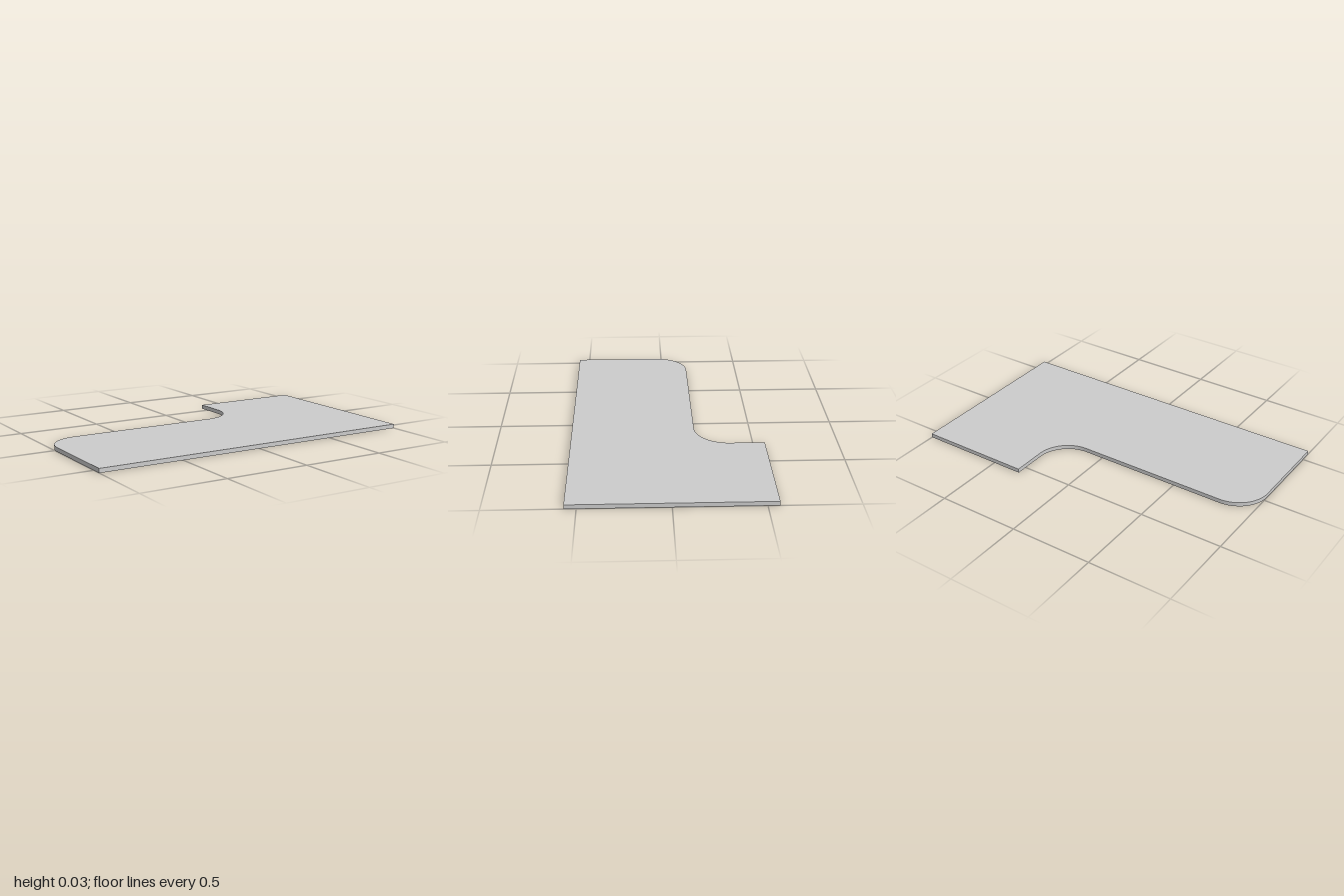
import * as THREE from 'three';
import { toCreasedNormals } from 'three/addons/utils/BufferGeometryUtils.js';

const HALF_DEPTH = 0.565; // half of the z extent
const THICKNESS = 0.025;
const BACK = 0.163;       // back edge of the long wing
const INNER = 0.315;      // inner side of the short wing
const R = 0.2;            // radius of both rounded corners

export function createModel() {
  const group = new THREE.Group();
  group.name = 'cornerDesktop';

  // L-shaped outline, drawn with shape y pointing to the back
  const outline = new THREE.Shape();
  outline.moveTo(-1, -HALF_DEPTH);
  outline.lineTo(1, -HALF_DEPTH);
  outline.lineTo(1, HALF_DEPTH);
  outline.lineTo(INNER, HALF_DEPTH);
  outline.lineTo(INNER, BACK + R);
  // concave inner corner
  outline.absarc(INNER - R, BACK + R, R, 0, -Math.PI / 2, true);
  // convex outer corner
  outline.absarc(-1 + R, BACK - R, R, Math.PI / 2, Math.PI, false);
  outline.closePath();

  // Thin slab laid flat, with smooth rounded corners and sharp edges
  const slab = new THREE.ExtrudeGeometry(outline, {
    depth: THICKNESS, bevelEnabled: false, curveSegments: 24,
  });
  slab.rotateX(-Math.PI / 2);

  const desktop = new THREE.Mesh(
    toCreasedNormals(slab, Math.PI / 6),
    new THREE.MeshStandardMaterial({ color: 0xcccccc }),
  );
  desktop.name = 'desktop';
  group.add(desktop);
  return group;
}
